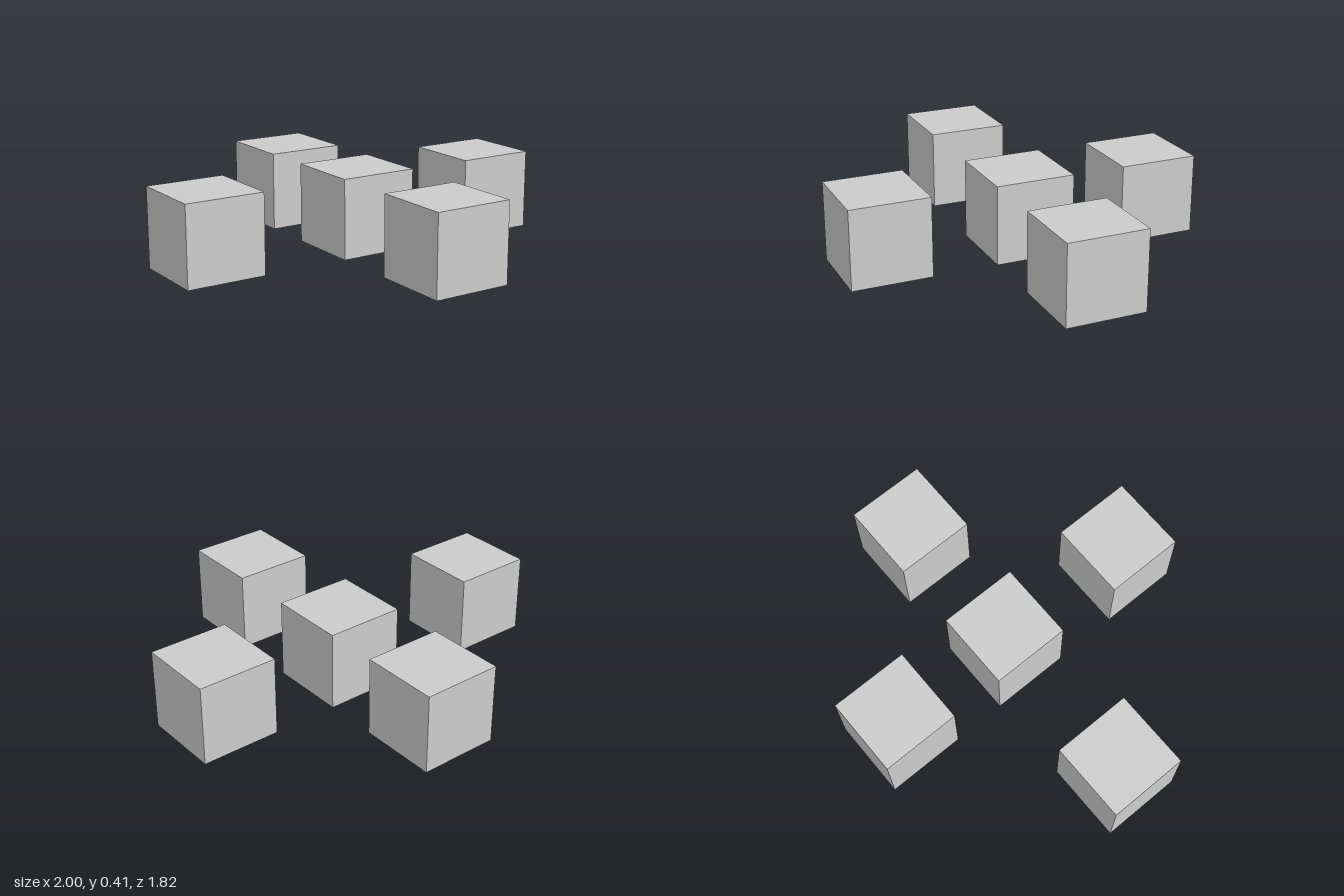
import * as THREE from 'three';

const SIZE = 0.406; // edge length of every cube

export function createModel() {
  const model = new THREE.Group();
  model.name = 'cubeCross';
  const geometry = new THREE.BoxGeometry(SIZE, SIZE, SIZE);
  const material = new THREE.MeshStandardMaterial({ color: 0xcccccc, flatShading: true });

  // Five equal cubes set out in a cross: name, x, z
  const cubes = [
    ['centreCube', 0.055, -0.03],
    ['leftCube', 0.797, -0.03],
    ['rightCube', -0.797, -0.03],
    ['frontCube', 0.055, 0.709],
    ['backCube', 0.055, -0.709],
  ];
  for (const [name, x, z] of cubes) {
    const cube = new THREE.Mesh(geometry, material);
    cube.name = name;
    cube.position.set(x, SIZE / 2, z);
    model.add(cube);
  }
  return model;
}
